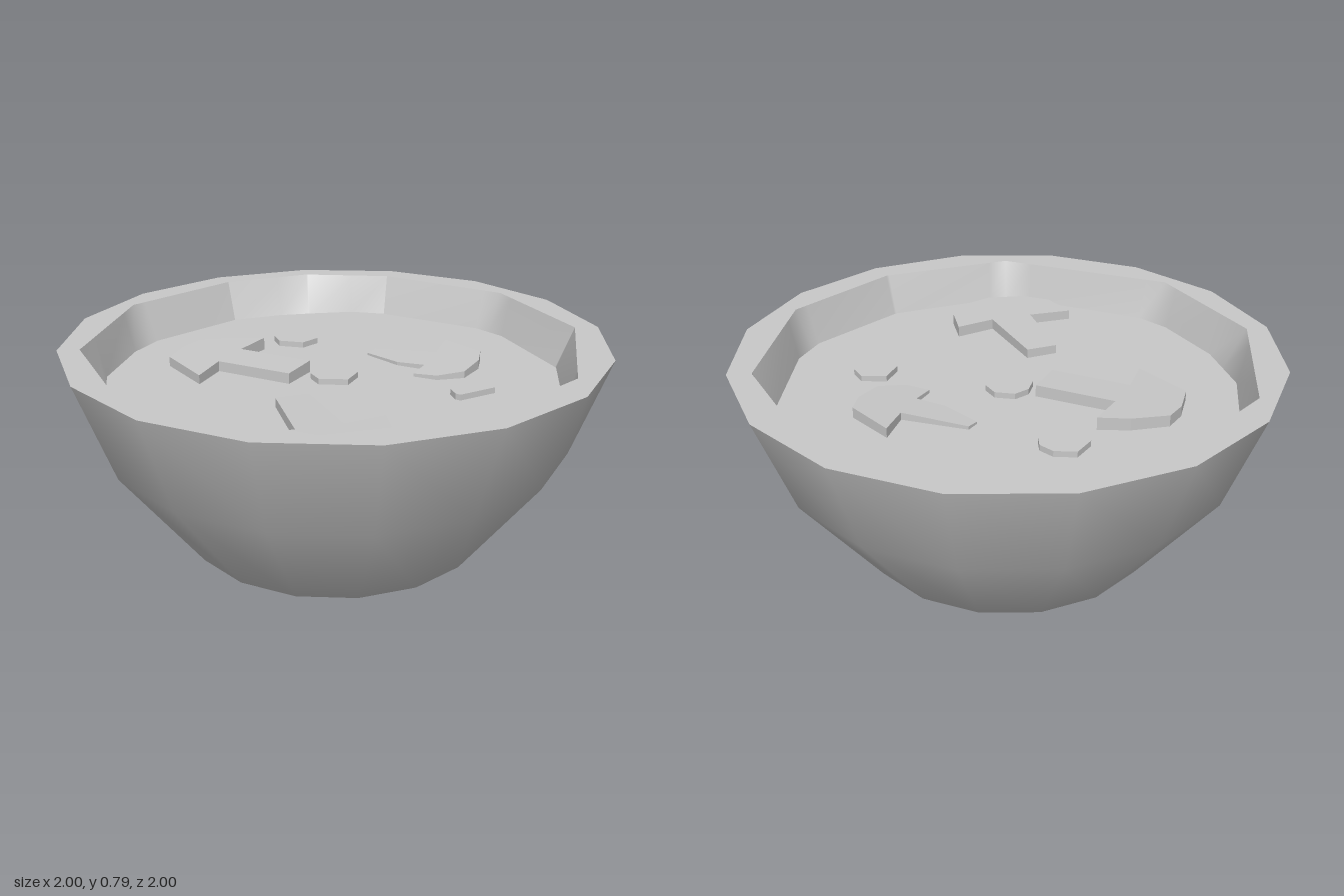
import * as THREE from 'three';

const RIM_Y = 0.79;
const SOUP_Y = 0.635;

const stoneware = new THREE.MeshStandardMaterial({ color: 0xc8c8c8 });
stoneware.name = 'pale grey';

// Outlines as [x, z] pairs seen from above
const lipOutline = [[-0.14, -0.91], [0.35, -0.84], [0.65, -0.65], [0.84, -0.35], [0.9, 0.18], [0.65, 0.64],
  [0.14, 0.9], [-0.34, 0.83], [-0.76, 0.51], [-0.91, -0.18], [-0.65, -0.65]];
const soupOutline = [[-0.08, -0.85], [0.33, -0.79], [0.5, -0.68], [0.6, -0.59], [0.73, -0.46], [0.79, -0.33],
  [0.85, 0.1], [0.82, 0.24], [0.6, 0.6], [0.23, 0.82], [0.08, 0.85], [-0.33, 0.78], [-0.67, 0.53],
  [-0.76, 0.38], [-0.85, -0.1], [-0.82, -0.24], [-0.68, -0.5], [-0.5, -0.69], [-0.23, -0.82]];

const toPoints = (outline) => outline.map(([x, z]) => new THREE.Vector2(x, -z));

function addMesh(group, name, geometry, y = 0) {
  const mesh = new THREE.Mesh(geometry, stoneware);
  mesh.name = name;
  mesh.position.y = y;
  group.add(mesh);
}

// Distance from the centre to an outline along one direction
function radiusAt(outline, angle) {
  const c = Math.cos(angle), s = Math.sin(angle);
  let best = 0;
  outline.forEach(([ax, az], i) => {
    const [bx, bz] = outline[(i + 1) % outline.length];
    const da = c * az - s * ax, db = c * bz - s * bx;
    if (da * db > 1e-12 || da === db) return;
    const t = da / (da - db);
    best = Math.max(best, c * (ax + (bx - ax) * t) + s * (az + (bz - az) * t));
  });
  return best;
}

// Inner wall joining the lip outline to the soup outline
function innerWall() {
  const angles = [...lipOutline, ...soupOutline].map(([x, z]) => Math.atan2(z, x) + 1e-5).sort((a, b) => a - b);
  const positions = [], index = [], n = angles.length;
  for (const a of angles) {
    for (const [outline, y] of [[lipOutline, RIM_Y], [soupOutline, SOUP_Y]]) {
      const r = radiusAt(outline, a);
      positions.push(r * Math.cos(a), y, r * Math.sin(a));
    }
  }
  for (let i = 0; i < n; i++) {
    const t0 = 2 * i, t1 = 2 * ((i + 1) % n);
    index.push(t0, t0 + 1, t1, t1, t0 + 1, t1 + 1);
  }
  const g = new THREE.BufferGeometry();
  g.setAttribute('position', new THREE.Float32BufferAttribute(positions, 3));
  g.setIndex(index);
  g.computeVertexNormals();
  return g;
}

// Flat piece whose top follows a height rule
function slab(outline, height) {
  const g = new THREE.ExtrudeGeometry(new THREE.Shape(toPoints(outline)), { depth: 1, bevelEnabled: false });
  g.rotateX(-Math.PI / 2);
  const p = g.attributes.position;
  for (let i = 0; i < p.count; i++) {
    p.setY(i, p.getY(i) > 0.5 ? height(p.getX(i), p.getZ(i)) : -0.02);
  }
  g.computeVertexNormals();
  return g;
}

export function createModel() {
  const group = new THREE.Group();
  group.name = 'soupBowl';

  // Bowl outside, sixteen sides
  const profile = [[0, 0], [0.5, 0], [0.56, 0.025], [0.865, 0.425], [1, RIM_Y]];
  addMesh(group, 'bowlOutside', new THREE.LatheGeometry(profile.map(([r, y]) => new THREE.Vector2(r, y)), 16));

  // Flat rim with the uneven opening
  const rim = new THREE.Shape(Array.from({ length: 16 }, (_, i) =>
    new THREE.Vector2(Math.cos(i * Math.PI / 8), Math.sin(i * Math.PI / 8))));
  rim.holes.push(new THREE.Path(toPoints(lipOutline)));
  addMesh(group, 'rim', new THREE.ShapeGeometry(rim).rotateX(-Math.PI / 2), RIM_Y);
  addMesh(group, 'bowlInnerWall', innerWall());

  // Soup surface
  const soup = new THREE.Shape(toPoints(soupOutline));
  addMesh(group, 'soup', new THREE.ShapeGeometry(soup).rotateX(-Math.PI / 2), SOUP_Y);

  // Mushroom slices, each lying at its own tilt
  addMesh(group, 'backMushroom', slab([[-0.35, -0.36], [-0.27, -0.59], [-0.15, -0.63], [-0.06, -0.63], [0.04, -0.53],
    [0.1, -0.43], [-0.05, -0.42], [0, -0.12], [-0.15, -0.1], [-0.2, -0.4]],
  (x, z) => 0.045 + 0.03 * x), SOUP_Y);
  addMesh(group, 'rightMushroom', slab([[-0.73, 0.27], [-0.68, 0.14], [-0.55, 0.25], [-0.36, 0.01], [-0.26, 0.08],
    [-0.42, 0.35], [-0.28, 0.42], [-0.37, 0.51], [-0.49, 0.53], [-0.6, 0.49], [-0.7, 0.38]],
  (x, z) => 0.04 + 0.02 * (z - 0.3)), SOUP_Y);
  addMesh(group, 'leftMushroom', slab([[0.19, 0.22], [0.28, 0.21], [0.26, 0.1], [0.29, -0.06], [0.34, -0.06],
    [0.41, 0.18], [0.54, 0.14], [0.49, 0.33], [0.41, 0.37], [0.29, 0.38], [0.21, 0.31]],
  (x, z) => 0.022 + 0.08 * (x - 0.35) + 0.04 * (z - 0.15)), SOUP_Y);

  // Small vegetable chunks
  const chunks = [
    [[-0.09, -0.01], [-0.06, -0.07], [0, -0.09], [0.06, -0.07], [0.09, 0], [0.06, 0.06], [-0.03, 0.08]],
    [[0.17, -0.41], [0.21, -0.47], [0.3, -0.47], [0.34, -0.4], [0.33, -0.34], [0.29, -0.31], [0.21, -0.32]],
    [[0.08, 0.47], [0.11, 0.43], [0.2, 0.41], [0.25, 0.49], [0.22, 0.55], [0.08, 0.49]],
  ];
  chunks.forEach((outline, i) => addMesh(group, `chunk${i + 1}`, slab(outline, () => 0.022), SOUP_Y));

  return group;
}
